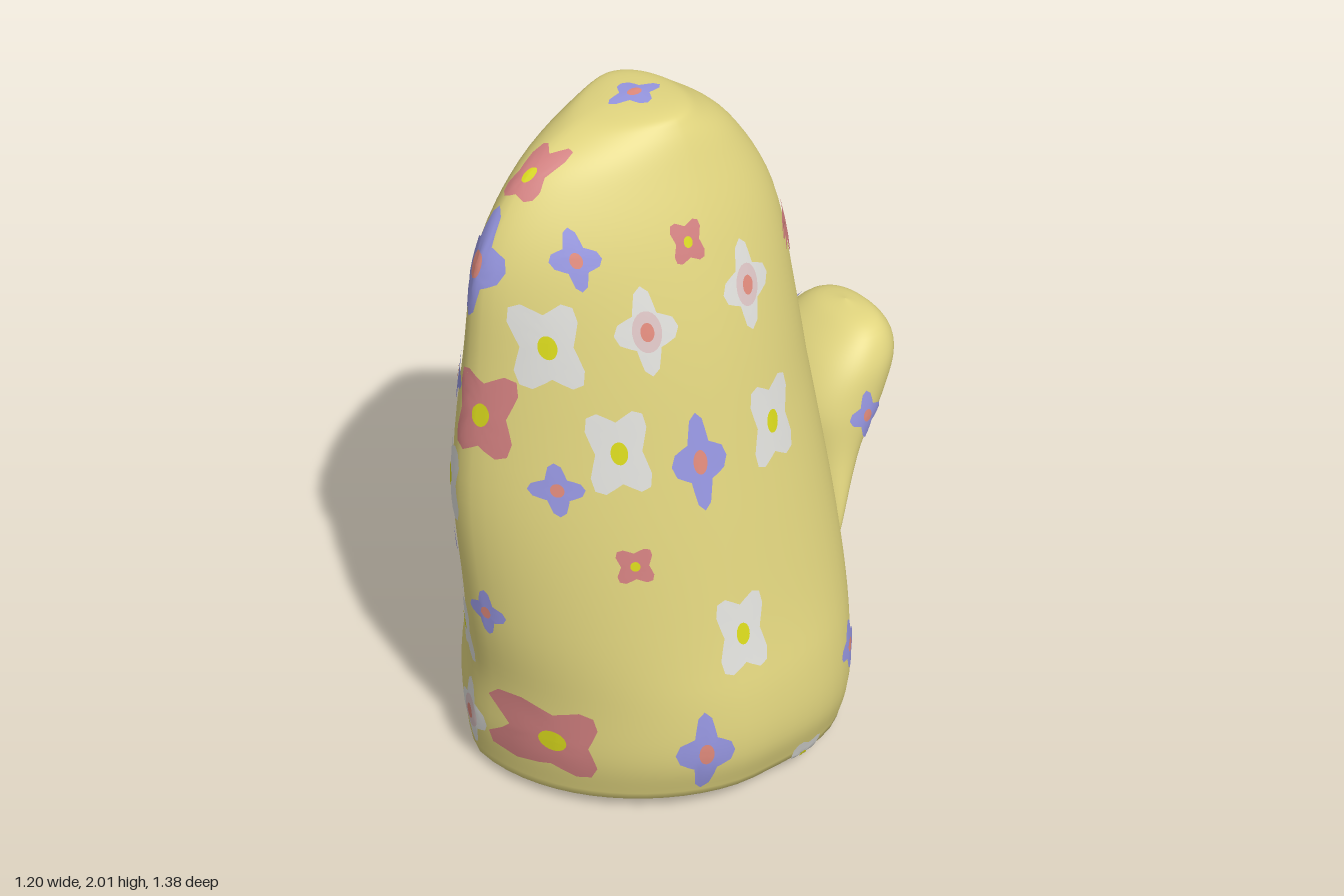
import * as THREE from 'three';
import { mergeGeometries } from 'three/addons/utils/BufferGeometryUtils.js';

const SEG = 64;
const COLORS = {
  cloth: 0xe0d47e, white: 0xdededa, blue: 0x9696e0, pink: 0xd28080,
  grey: 0x96927a, yellow: 0xd8d81c, salmon: 0xe08a7c, blush: 0xdcc4c4,
};

// Smooth interpolation of key sections [y, xMin, xMax, zMin, zMax]
function sections(keys, count) {
  const spline = new THREE.CubicInterpolant(keys.map((_, i) => i), keys.flat(), 5, new Float32Array(5));
  return Array.from({ length: count + 1 }, (_, i) =>
    Array.from(spline.evaluate((i / count) * (keys.length - 1))));
}

// One closed outline; the power gives the squareness of each quadrant
function outline([y, x0, x1, z0, z1], cz, power, lift, scale = 1) {
  const cx = (x0 + x1) / 2, points = [];
  for (let j = 0; j < SEG; j++) {
    const a = (j / SEG) * Math.PI * 2, c = Math.cos(a), s = Math.sin(a);
    const p = power(c, s);
    const r = scale * Math.pow(Math.abs(c) ** p + Math.abs(s) ** p, -1 / p);
    points.push(new THREE.Vector3(
      cx + r * c * (x1 - x0) / 2, y + lift(c, s), cz + r * s * (s > 0 ? z1 - cz : cz - z0)));
  }
  return points;
}

// Skin a list of outlines
function loft(rings) {
  const index = [];
  for (let i = 0; i < rings.length - 1; i++) {
    for (let j = 0; j < SEG; j++) {
      const a = i * SEG + j, b = i * SEG + (j + 1) % SEG;
      index.push(a, a + SEG, b, b, a + SEG, b + SEG);
    }
  }
  return surface(rings.flat(), index);
}

function surface(points, index) {
  const g = new THREE.BufferGeometry().setFromPoints(points);
  g.setIndex(index);
  g.computeVertexNormals();
  return g;
}

// Hand part: outer shell, rolled rim and inner lining in one skin
function bodyGeometry() {
  const keys = [
    [0.01, -0.60, 0.55, -0.41, 0.62],
    [0.17, -0.60, 0.59, -0.42, 0.64],
    [0.37, -0.53, 0.58, -0.42, 0.64],
    [0.63, -0.43, 0.53, -0.41, 0.67],
    [1.00, -0.37, 0.465, -0.365, 0.69],
    [1.40, -0.29, 0.39, -0.305, 0.645],
    [1.68, -0.22, 0.315, -0.255, 0.60],
    [1.87, -0.16, 0.24, -0.15, 0.48],
    [1.96, -0.125, 0.195, -0.04, 0.33],
    [1.99, -0.09, 0.155, 0.02, 0.21],
    [2.00, 0.035, 0.035, 0.11, 0.11],
  ];
  const ring = (k, scale, drop = 0) => {
    const t = Math.min(1, k[0] / 1.2);
    const power = (c, s) => s > 0
      ? THREE.MathUtils.lerp(c < 0 ? 1.4 : 1.75, 1.55, t)
      : THREE.MathUtils.lerp(c < 0 ? 2 : 3, 2.2, t);
    const fade = Math.max(0, 1 - k[0] / 0.5);
    const lift = (c, s) => drop + fade * (c * c * (c < 0 ? 0.11 : 0.065) + (s > 0 ? 0.02 * s * s : 0));
    return outline(k, 0.1, power, lift, scale);
  };
  const outer = sections(keys, 60);
  const inner = outer.slice(1).reverse().map((k) => ring(k, 0.93, -0.02 * k[0]));
  return loft([...inner, ring(outer[0], 0.935), ring(outer[0], 0.965, -0.01),
    ...outer.map((k) => ring(k, 1))]);
}

// Thumb growing out of the back wall
function thumbGeometry() {
  const keys = [
    [0.40, -0.14, 0.26, -0.405, -0.37],
    [0.55, -0.20, 0.30, -0.435, -0.34],
    [0.76, -0.16, 0.27, -0.55, -0.33],
    [0.90, -0.14, 0.26, -0.65, -0.33],
    [1.02, -0.12, 0.24, -0.69, -0.40],
    [1.10, -0.06, 0.18, -0.65, -0.50],
    [1.125, 0.06, 0.06, -0.58, -0.58],
  ];
  return loft(sections(keys, 32).map((k) => outline(k, (k[3] + k[4]) / 2, () => 2.2, () => 0)));
}

// Directions from which flowers are laid on the cloth
function side(azimuth, elevation) {
  const dir = new THREE.Vector3(Math.sin(azimuth) * Math.cos(elevation), Math.sin(elevation),
    Math.cos(azimuth) * Math.cos(elevation));
  const right = new THREE.Vector3(Math.cos(azimuth), 0, -Math.sin(azimuth));
  return { dir, right, up: dir.clone().cross(right) };
}
const Q = Math.PI / 4, TILT = THREE.MathUtils.degToRad(25);

// Kinds of flower: petal colour, heart colour, width, height
const KINDS = {
  daisy: ['white', 'yellow', 0.15, 0.25],
  smallDaisy: ['white', 'yellow', 0.1, 0.15],
  rosette: ['white', 'blush', 0.15, 0.23],
  iris: ['blue', 'salmon', 0.14, 0.27],
  violet: ['blue', 'salmon', 0.11, 0.15],
  poppy: ['pink', 'yellow', 0.16, 0.26],
  pinkBud: ['pink', 'yellow', 0.09, 0.11],
  shade: ['grey', 'salmon', 0.13, 0.23],
};

// Where each kind grows, as [across, up] on each side
const FLOWERS = [
  [side(0, 0), {
    iris: [[-0.18, 1.46], [0.04, 1.68]],
    violet: [[-0.03, 1.33], [-0.05, 0.81], [0.11, 0.65], [-0.39, 0.73], [-0.41, 0.18]],
    poppy: [[0.1, 1.28]], pinkBud: [[0.06, 1.89]],
    daisy: [[-0.02, 1.03], [-0.05, 0.5]], rosette: [[-0.03, 0.19]], shade: [[-0.31, 0.41]],
  }],
  [side(2 * Q, 0), {
    iris: [[-0.2, 1.13], [-0.26, 0.25]],
    violet: [[-0.42, 1.71], [-0.53, 1.09], [0.27, 0.33], [0.5, 0.88]],
    poppy: [[-0.56, 0.25]], pinkBud: [[-0.15, 1.71], [-0.385, 0.86]],
    daisy: [[-0.51, 1.49], [-0.39, 1.19], [0.03, 1.16], [-0.135, 0.6]],
    rosette: [[-0.29, 1.51], [0, 1.55]],
  }],
  [side(0, 2 * Q), { violet: [[0.04, -0.12]] }],
  [side(-3 * Q, TILT), {
    iris: [[0.4, 1.39], [-0.065, 0.95], [0.285, -0.01]], violet: [[-0.27, 0.78]],
    poppy: [[0.22, 1.05], [0.2, 0.61]],
    pinkBud: [[-0.29, 1.42], [-0.31, 0.67], [-0.33, 0.1], [-0.12, -0.05]],
    daisy: [[0.39, 0.92]], smallDaisy: [[-0.24, 1.315], [-0.17, 0.27]],
    rosette: [[0.36, 0.34]], shade: [[0.23, 1.37], [-0.29, 0.94]],
  }],
  // On the lining, laid through the opening
  [side(3 * Q, -TILT), {
    smallDaisy: [[-0.33, 0.24], [0.33, 0.09]], shade: [[-0.05, 0.135]], rosette: [[-0.345, 0.005]],
  }],
];

// A thin patch draped over the cloth
function drape(cloth, view, [a, b], w, h, radius, offset) {
  const caster = new THREE.Raycaster();
  const hit = (x, y) => {
    const origin = view.dir.clone().multiplyScalar(4).addScaledVector(view.right, x).addScaledVector(view.up, y);
    caster.set(origin, view.dir.clone().negate());
    return caster.intersectObjects(cloth)[0];
  };
  const centre = hit(a, b);
  const lay = (k) => k.point.clone().addScaledVector(k.face.normal, offset);
  const N = 24, R = 4, points = [lay(centre)], index = [];
  for (let i = 1; i <= R; i++) {
    for (let j = 0; j < N; j++) {
      const t = (j / N) * Math.PI * 2, r = radius(t) * i / R;
      let found = centre;
      // Draw petals in where they would run off the edge
      for (let k = 1; k > 0.1; k -= 0.15) {
        const p = hit(a + Math.cos(t) * r * w * k, b + Math.sin(t) * r * h * k);
        if (p && Math.abs(p.distance - centre.distance) < 0.25) { found = p; break; }
      }
      points.push(lay(found));
      const c = 1 + (i - 1) * N + j, n = 1 + (i - 1) * N + (j + 1) % N;
      if (i === 1) index.push(0, c, n);
      else index.push(c - N, c, n, c - N, n, n - N);
    }
  }
  return surface(points, index);
}

export function createModel() {
  const group = new THREE.Group();
  const add = (name, geometry, material) => {
    const mesh = new THREE.Mesh(geometry, material);
    mesh.name = name;
    group.add(mesh);
    return mesh;
  };
  const paint = (name) => Object.assign(new THREE.MeshStandardMaterial({ color: COLORS[name] }), { name });
  const clothPaint = paint('cloth');
  const cloth = [add('mittBody', bodyGeometry(), clothPaint), add('thumb', thumbGeometry(), clothPaint)];

  // Printed flowers, gathered by colour
  const patches = {};
  for (const [view, kinds] of FLOWERS) {
    for (const [kind, places] of Object.entries(kinds)) {
      const [petal, heart, w, h] = KINDS[kind];
      const petals = (t) => (heart === 'yellow' ? 0.47 - 0.12 * Math.cos(4 * t) : 0.4 + 0.12 * Math.cos(4 * t));
      for (const place of places) {
        const print = (color, radius, offset) =>
          (patches[color] ??= []).push(drape(cloth, view, place, w, h, radius, offset));
        print(petal, petals, 0.005);
        print(heart, () => (heart === 'blush' ? 0.24 : 0.13), 0.007);
        if (heart === 'blush') print('salmon', () => 0.11, 0.009);
      }
    }
  }
  for (const [color, list] of Object.entries(patches)) add(color + 'FlowerPrint', mergeGeometries(list), paint(color));
  return group;
}
